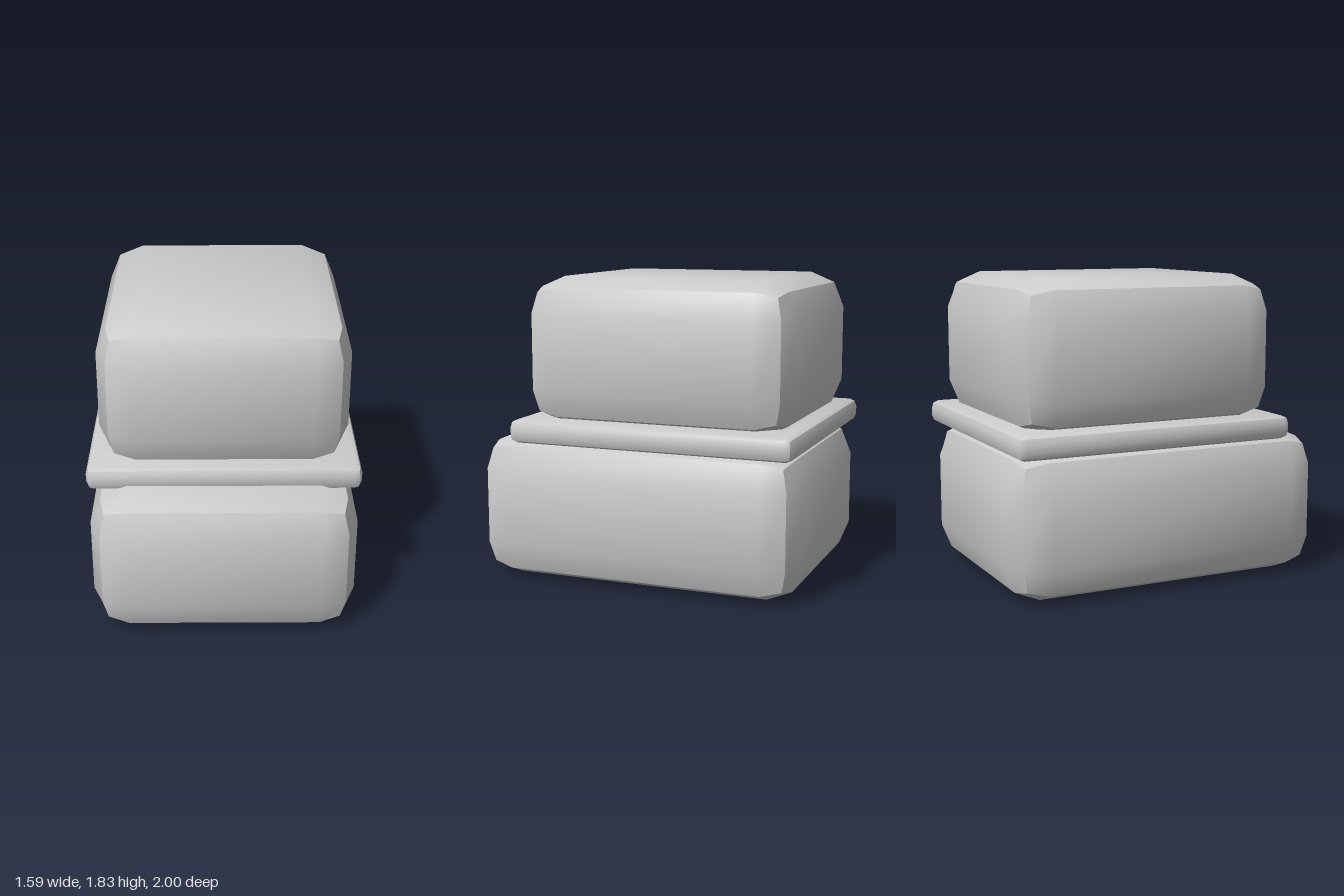
import * as THREE from 'three';
import { toCreasedNormals } from 'three/addons/utils/BufferGeometryUtils.js';
import { RoundedBoxGeometry } from 'three/addons/geometries/RoundedBoxGeometry.js';

const grey = new THREE.MeshStandardMaterial({ color: 0xcccccc });
grey.name = 'grey';

// Box with low-poly rounded edges, placed by its [min, max] extents; the mid-edge line stays crisp
function softBlock(name, halfWidth, [y0, y1], [z0, z1], radius) {
  const box = new RoundedBoxGeometry(halfWidth * 2, y1 - y0, z1 - z0, 1, radius);
  const mesh = new THREE.Mesh(toCreasedNormals(box, THREE.MathUtils.degToRad(35)), grey);
  mesh.name = name;
  mesh.position.set(0, (y0 + y1) / 2, (z0 + z1) / 2);
  return mesh;
}

export function createModel() {
  const model = new THREE.Group();
  model.name = 'stackedBlocks';
  model.add(
    softBlock('lowerBlock', 0.775, [0, 0.885], [-1, 1], 0.213),
    softBlock('middleSlab', 0.797, [0.852, 0.992], [-0.988, 0.747], 0.045),
    softBlock('upperBlock', 0.727, [0.943, 1.828], [-0.942, 0.706], 0.213),
  );
  return model;
}
